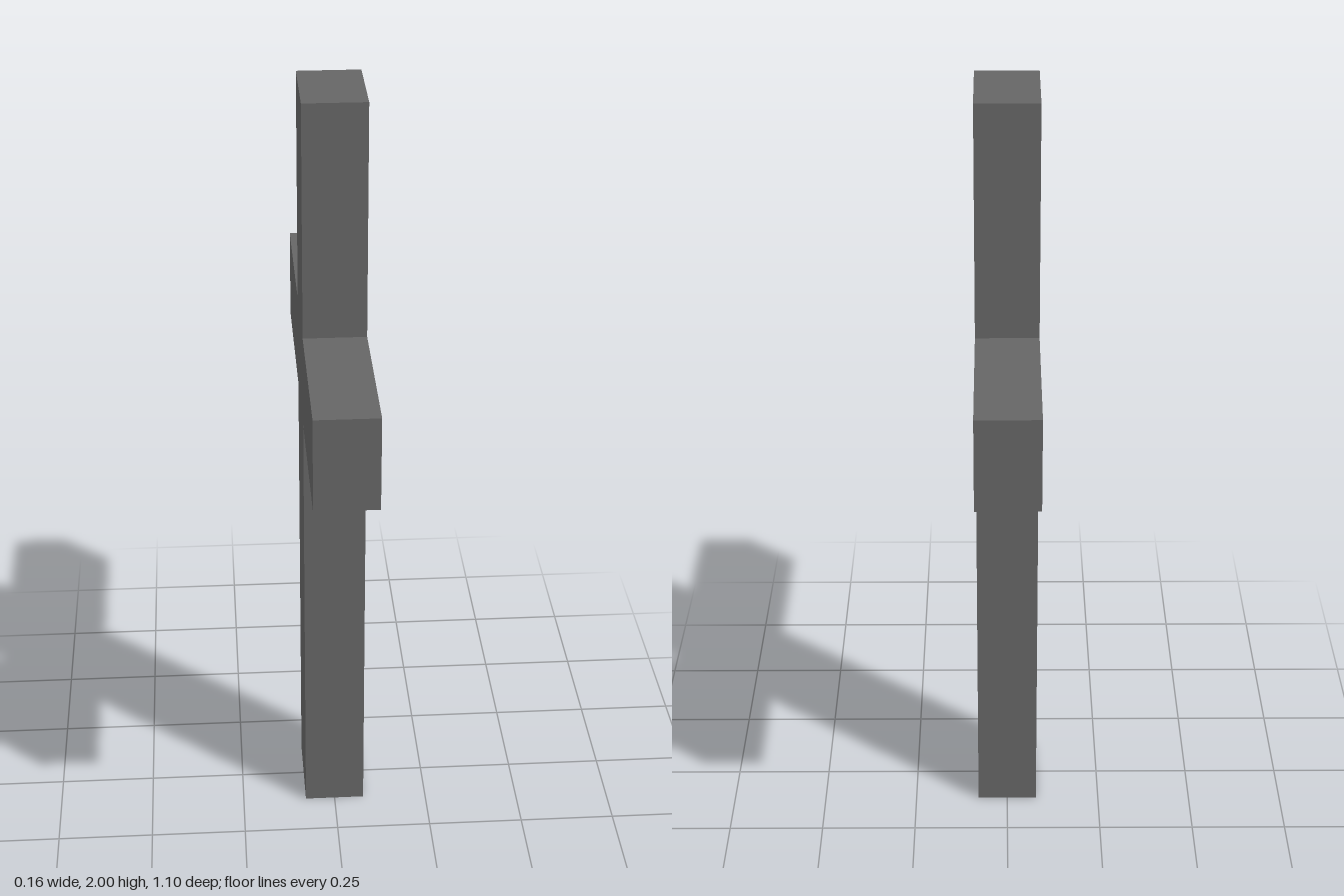
import * as THREE from 'three';

export function createModel() {
  const group = new THREE.Group();
  group.name = 'cross';
  const stone = new THREE.MeshStandardMaterial({ color: 0x666666 });
  stone.name = 'dark grey stone';

  // Cross outline: right half going up, then mirrored going down
  const post = 0.119, arm = 0.55, armBottom = 1.163, armTop = 1.402, height = 2, depth = 0.158;
  const half = [
    [post, 0], [post, armBottom], [arm, armBottom],
    [arm, armTop], [post, armTop], [post, height],
  ];
  const mirrored = half.map(([x, y]) => [-x, y]).reverse();
  const outline = new THREE.Shape([...half, ...mirrored].map(([x, y]) => new THREE.Vector2(x, y)));

  // Solid cross with its arms along z
  const geometry = new THREE.ExtrudeGeometry(outline, { depth, bevelEnabled: false });
  geometry.translate(0, 0, -depth / 2);
  geometry.rotateY(Math.PI / 2);
  const body = new THREE.Mesh(geometry, stone);
  body.name = 'postAndArms';
  group.add(body);
  return group;
}
